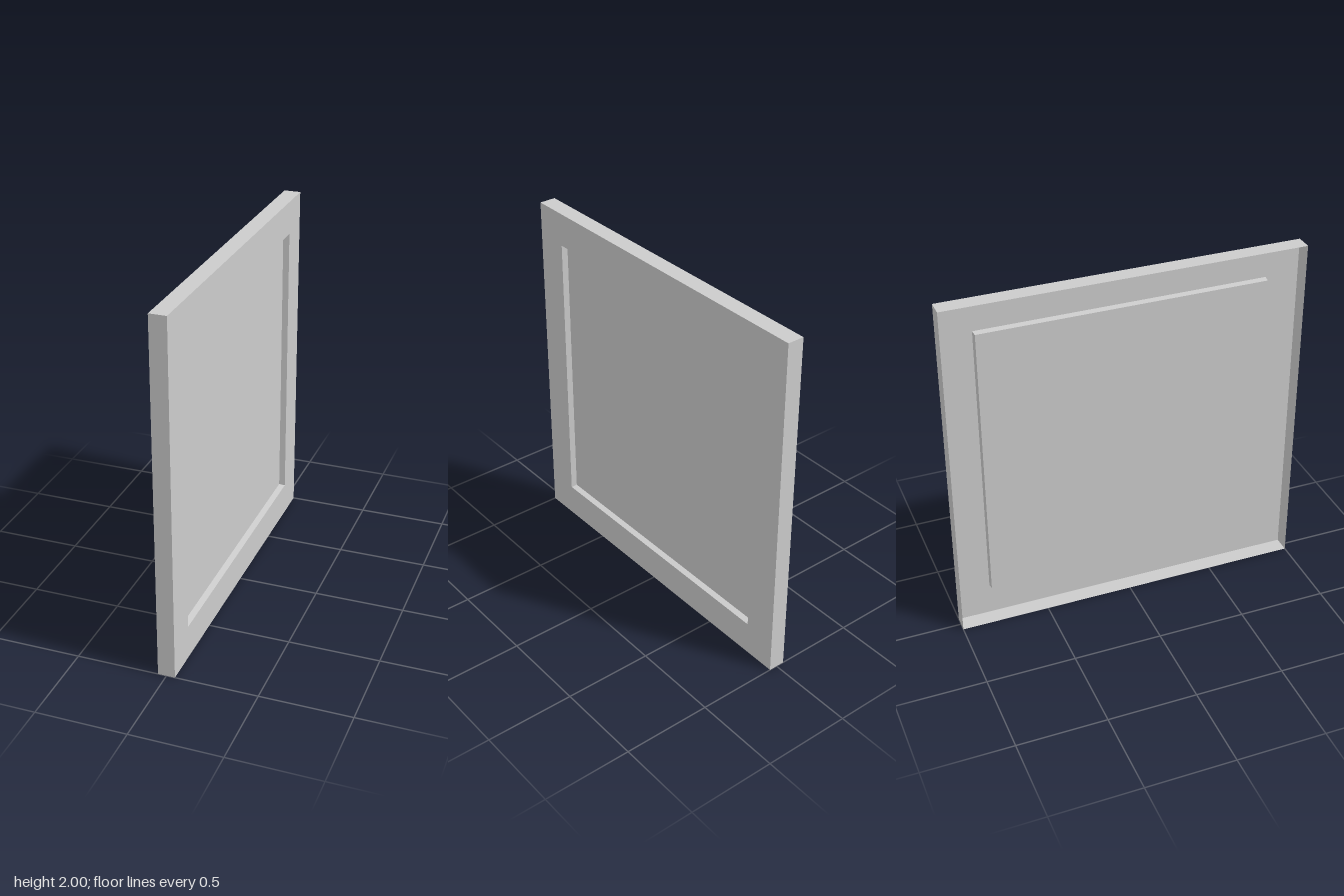
import * as THREE from 'three';

const HALF = 1;          // half side of the square panel
const FRONT = 0.047;     // x of the front sheet
const BACK = -0.047;     // x of the open back edge
const RECESS = 0.81;     // half side of the recess opening
const FLOOR_HALF = 0.806;
const FLOOR_X = 0.012;   // x of the recess floor

const material = new THREE.MeshStandardMaterial({
  color: 0xcccccc, flatShading: true, side: THREE.DoubleSide,
});

// Thin square band about the x axis, joining two squares given as [half side, x]
function squareBand(name, from, to) {
  const points = [from, to].map(([h, x]) => new THREE.Vector2(h * Math.SQRT2, x));
  const geometry = new THREE.LatheGeometry(points, 4, Math.PI / 4).toNonIndexed();
  geometry.rotateZ(-Math.PI / 2);
  geometry.computeVertexNormals();
  const mesh = new THREE.Mesh(geometry, material);
  mesh.name = name;
  mesh.position.y = HALF;
  return mesh;
}

export function createModel() {
  const group = new THREE.Group();
  group.name = 'recessedPanel';

  // Folded sheet: outer rim, front border and the walls of the recess
  group.add(
    squareBand('outerRim', [HALF, BACK], [HALF, FRONT]),
    squareBand('frontBorder', [HALF, FRONT], [RECESS, FRONT]),
    squareBand('recessWalls', [RECESS, FRONT], [FLOOR_HALF, FLOOR_X]),
  );

  // Recess floor, which stands proud inside the open back
  const floor = new THREE.Mesh(
    new THREE.PlaneGeometry(FLOOR_HALF * 2, FLOOR_HALF * 2).rotateY(Math.PI / 2),
    material,
  );
  floor.name = 'recessFloor';
  floor.position.set(FLOOR_X, HALF, 0);
  group.add(floor);

  return group;
}
